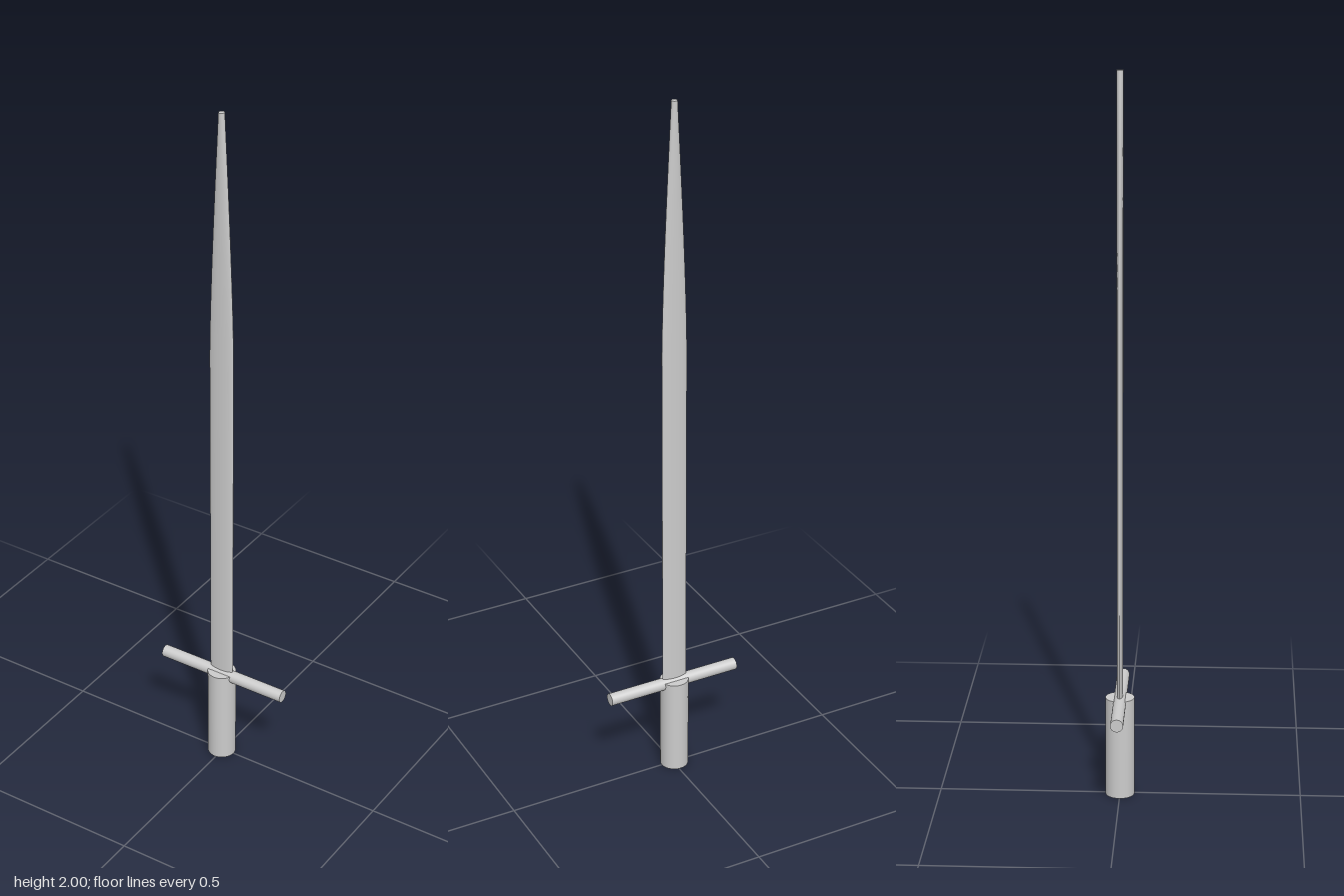
import * as THREE from 'three';

export function createModel() {
  const group = new THREE.Group();
  const material = new THREE.MeshStandardMaterial({ color: 0xcccccc });
  const axisX = -0.005; // blade and grip sit slightly off the guard's centre

  const add = (name, geometry, x, y) => {
    const mesh = new THREE.Mesh(geometry, material);
    mesh.name = name;
    mesh.position.set(x, y, 0);
    group.add(mesh);
    return mesh;
  };

  // Round grip
  add('grip', new THREE.CylinderGeometry(0.04, 0.04, 0.284, 48), axisX, 0.142);

  // Round crossguard bar
  add('crossguard', new THREE.CylinderGeometry(0.0175, 0.0175, 0.395, 40), 0, 0.275).rotation.z = Math.PI / 2;

  // Blade: a thin elliptical rod whose width curves in to a small round tip
  const bottom = 0.27, top = 2, taperStart = 1.3, halfWidth = 0.037, tip = 0.008;
  const blade = new THREE.CylinderGeometry(1, 1, top - bottom, 40, 40);
  const p = blade.attributes.position;
  const middle = (bottom + top) / 2;
  for (let i = 0; i < p.count; i++) {
    const t = Math.max(0, (p.getY(i) + middle - taperStart) / (top - taperStart));
    const w = halfWidth - (halfWidth - tip) * Math.pow(t, 1.4);
    p.setXYZ(i, p.getX(i) * w, p.getY(i), p.getZ(i) * 0.0085);
  }
  blade.computeVertexNormals();
  add('blade', blade, axisX, middle);

  return group;
}
